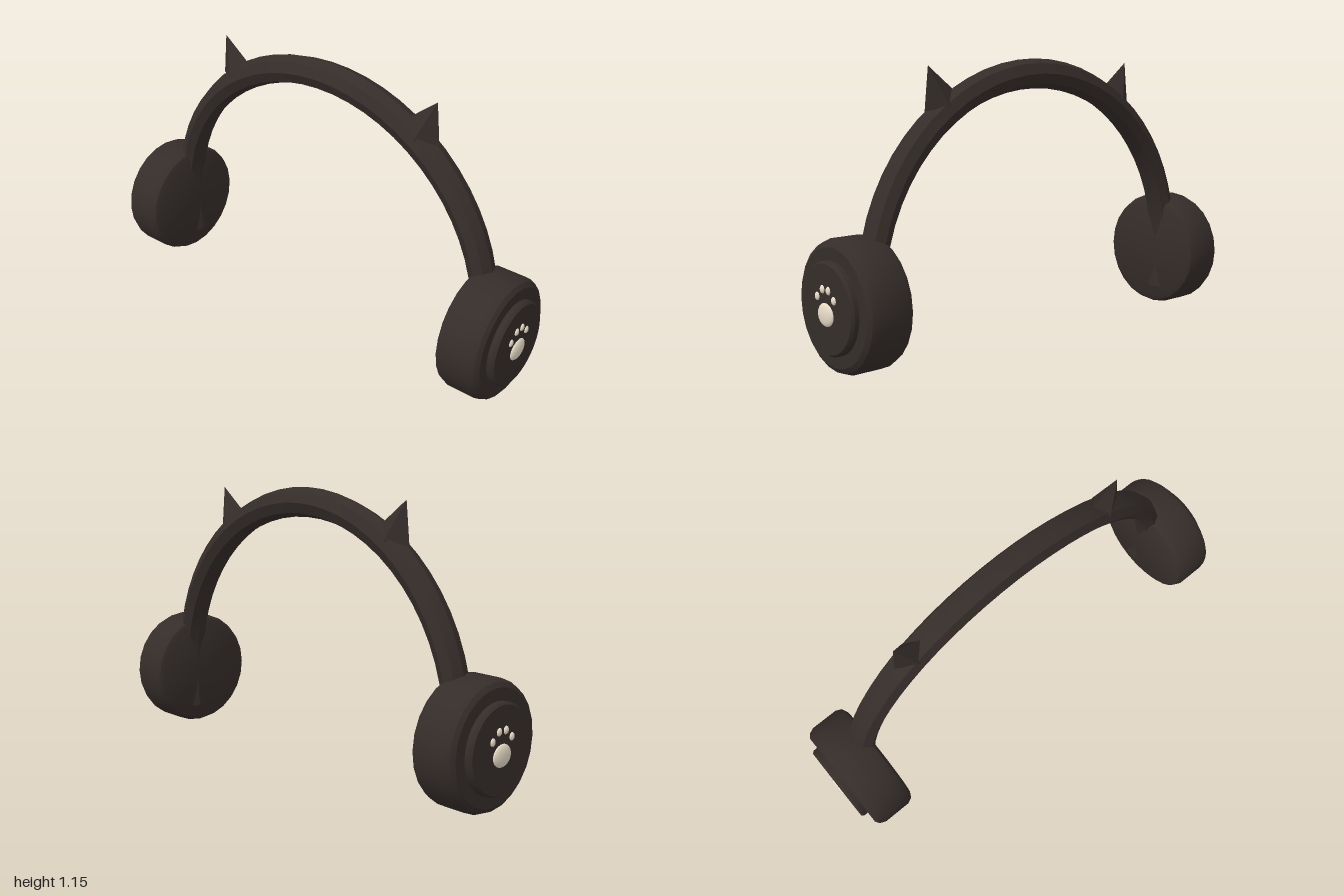
import * as THREE from 'three';
import { toCreasedNormals } from 'three/addons/utils/BufferGeometryUtils.js';
import { ConvexGeometry } from 'three/addons/geometries/ConvexGeometry.js';

const BAND_Z = -0.033;
const dark = new THREE.MeshStandardMaterial({ color: 0x352d2a });
const cream = new THREE.MeshStandardMaterial({ color: 0xe8dcc8 });

function addMesh(parent, name, geometry, material) {
  const mesh = new THREE.Mesh(geometry, material);
  mesh.name = name;
  parent.add(mesh);
  return mesh;
}

// Octagonal section swept over an arch, thinner towards the ends
function bandGeometry() {
  const steps = 36, sides = 8, overrun = 0.28;
  const pos = [], index = [];
  for (let i = 0; i <= steps; i++) {
    const t = -overrun + (i / steps) * (Math.PI + 2 * overrun);
    const s = Math.sin(t);
    // below the horizontal the arch straightens out
    const bend = s < 0 ? Math.sqrt(1 - 0.5 * s * s) * Math.sign(Math.cos(t)) : Math.cos(t);
    const cx = 0.81 * bend, cy = 0.293 + 0.796 * s;
    const r = 0.045 + 0.016 * s;
    for (let j = 0; j < sides; j++) {
      const a = (j / sides) * Math.PI * 2;
      const out = r * Math.cos(a);
      pos.push(cx + Math.cos(t) * out, cy + s * out, BAND_Z + 0.063 * Math.sin(a));
    }
  }
  for (let i = 0; i < steps; i++) {
    for (let j = 0; j < sides; j++) {
      const k = (j + 1) % sides;
      const a = i * sides + j, b = i * sides + k, c = b + sides, d = a + sides;
      index.push(a, d, b, b, d, c);
    }
  }
  // end caps
  const last = steps * sides;
  for (let j = 1; j < sides - 1; j++) {
    index.push(0, j, j + 1, last, last + j + 1, last + j);
  }
  const g = new THREE.BufferGeometry();
  g.setAttribute('position', new THREE.Float32BufferAttribute(pos, 3));
  g.setIndex(index);
  return toCreasedNormals(g, 0.5);
}

// Turned part lying along x; profile is [radius, x]
function turned(profile, segments) {
  const g = new THREE.LatheGeometry(profile.map(([r, x]) => new THREE.Vector2(r, x)), segments);
  g.rotateZ(-Math.PI / 2);
  return toCreasedNormals(g, 0.5);
}

// Ear cup with outer plate and paw emblem, facing +x
function earCup(name) {
  const cup = new THREE.Group();
  cup.name = name;
  addMesh(cup, 'cushion', turned([
    [0, 0.765], [0.222, 0.765], [0.243, 0.775], [0.254, 0.8],
    [0.254, 0.92], [0.243, 0.945], [0.225, 0.957], [0, 0.957],
  ], 24), dark);
  addMesh(cup, 'outerPlate', turned([
    [0.176, 0.94], [0.176, 0.975], [0.168, 0.986], [0, 0.986],
  ], 40), dark);

  // paw: [z, y from cup centre, half width, half height, half depth]
  const pads = [[0, -0.02, 0.052, 0.044, 0.015]];
  for (const s of [-1, 1]) {
    pads.push([s * 0.056, 0.041, 0.014, 0.016, 0.009], [s * 0.02, 0.072, 0.014, 0.016, 0.009]);
  }
  pads.forEach(([z, y, w, h, d], i) => {
    const pad = addMesh(cup, i ? 'pawToe' : 'pawPad', new THREE.SphereGeometry(1, 24, 16), cream);
    pad.position.set(0.985, y, z);
    pad.scale.set(d, h, w);
  });
  cup.position.y = 0.255;
  return cup;
}

// Four-sided pointed ear on the band, side is +1 or -1
function spike(side) {
  const p = (x, y, z) => new THREE.Vector3(side * x, y, BAND_Z + z);
  return new ConvexGeometry([
    p(0.54, 1.127, 0), p(0.413, 1.028, 0), p(0.558, 0.955, 0),
    p(0.475, 0.968, 0.055), p(0.475, 0.968, -0.055),
  ]);
}

export function createModel() {
  const model = new THREE.Group();
  model.name = 'headphones';
  addMesh(model, 'headband', bandGeometry(), dark);
  for (const [side, label] of [[1, 'left'], [-1, 'right']]) {
    addMesh(model, label + 'Ear', spike(side), dark);
    const cup = earCup(label + 'Cup');
    if (side < 0) cup.rotation.y = Math.PI;
    model.add(cup);
  }
  return model;
}
